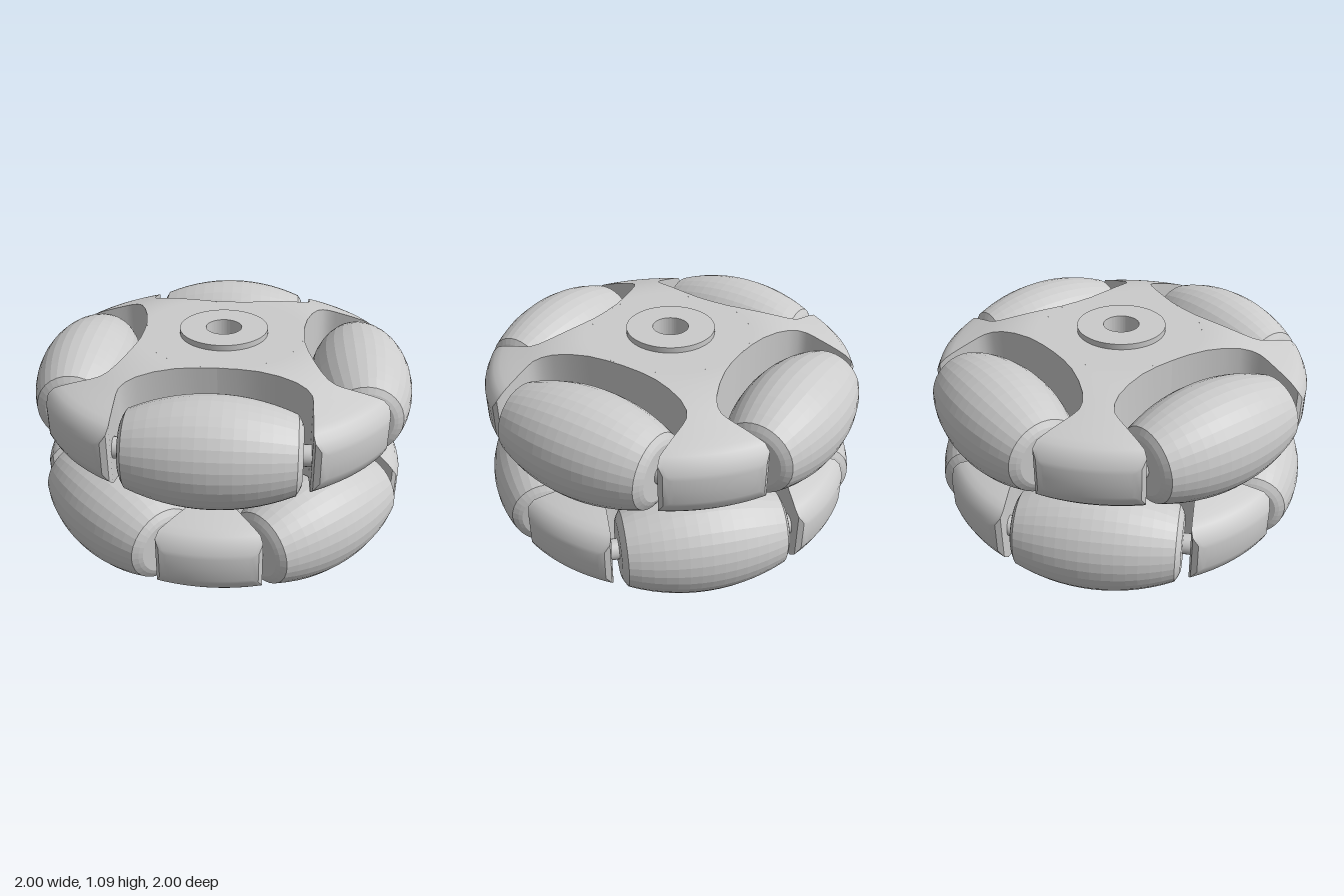
import * as THREE from 'three';
import { toCreasedNormals } from 'three/addons/utils/BufferGeometryUtils.js';

const smooth = new THREE.MeshStandardMaterial({ color: 0xcccccc });
const faceted = new THREE.MeshStandardMaterial({ color: 0xcccccc, flatShading: true });
const V = (x, y) => new THREE.Vector2(x, y);

const AXIS = 0.73;   // distance of a roller axis from the wheel centre
const CORE = 0.42;   // radius of the solid hub core

// Half of a pocket outline: [along the roller axis, outward from the wheel centre]
const POCKET = [
  [0, CORE], [0.1, 0.424], [0.2, 0.44], [0.3, 0.468], [0.38, 0.5], [0.43, 0.533],
  [0.455, 0.57], [0.46, 0.61], [0.46, 0.66], [0.46, 0.71], [0.46, 0.76], [0.46, 0.8],
  [0.47, 0.83], [0.5, 0.835], [0.53, 0.823],
];

// Half thickness of an arm against radius
const HEIGHT = [[0.42, 0.275], [0.5, 0.275], [0.6, 0.262], [0.7, 0.235], [0.79, 0.205],
  [0.87, 0.178], [0.92, 0.158], [0.955, 0.125], [0.973, 0.085], [0.98, 0.06]];

function halfHeight(r) {
  for (let i = 1; i < HEIGHT.length; i++) {
    const [r0, h0] = HEIGHT[i - 1], [r1, h1] = HEIGHT[i];
    if (r <= r1) return THREE.MathUtils.mapLinear(r, r0, r1, h0, h1);
  }
  return 0.06;
}

// Arm lofted outwards: each ring is an arc band between two pockets
function armGeometry() {
  const cols = 24, n = 2 * (cols + 1), pos = [], idx = [];
  const rings = POCKET.map(([u, v]) => {
    const r = Math.hypot(u, v);
    return { r, a: Math.PI / 4 - Math.atan2(u, v), h: halfHeight(r) };
  });
  rings.push({ ...rings[rings.length - 1], h: 0 });
  for (const { r, a, h } of rings) {
    for (const side of [1, -1]) {
      for (let i = 0; i <= cols; i++) {
        const t = side * a * (2 * i / cols - 1);
        pos.push(r * Math.sin(t), side * h, r * Math.cos(t));
      }
    }
  }
  for (let k = 0; k < rings.length - 1; k++) {
    for (let i = 0; i < n; i++) {
      const p = k * n + i, q = k * n + (i + 1) % n;
      idx.push(p, p + n, q, q, p + n, q + n);
    }
  }
  const g = new THREE.BufferGeometry();
  g.setAttribute('position', new THREE.Float32BufferAttribute(pos, 3));
  g.setIndex(idx);
  return toCreasedNormals(g, 0.5);
}

// Barrel roller whose long profile follows the wheel's outer circle
function rollerGeometry() {
  const half = 0.42, steps = 14, pts = [V(0.03, -half), V(0.14, -half), V(0.16, -half + 0.008)];
  for (let i = 0; i <= steps; i++) {
    const y = (half - 0.025) * (2 * i / steps - 1);
    pts.push(V(Math.sqrt(1 - y * y) - AXIS, y));
  }
  pts.push(V(0.16, half - 0.008), V(0.14, half), V(0.03, half));
  return new THREE.LatheGeometry(pts, 32).rotateZ(Math.PI / 2);
}

export function createModel() {
  const model = new THREE.Group();
  model.name = 'omniWheel';
  const add = (parent, name, geometry, material = smooth) => {
    const m = new THREE.Mesh(geometry, material);
    m.name = name;
    parent.add(m);
    return m;
  };

  // Hub core with bore and raised collar
  const core = [[0.093, 0], [0.23, 0], [0.23, 0.005], [CORE, 0.005], [CORE, 1.06],
    [0.23, 1.06], [0.23, 1.09], [0.093, 1.09], [0.093, 0]].map(p => V(...p));
  add(model, 'hubCore', toCreasedNormals(new THREE.LatheGeometry(core, 96), 0.5));

  const arm = armGeometry(), roller = rollerGeometry();
  const axle = new THREE.CylinderGeometry(0.052, 0.052, 1, 24).rotateZ(Math.PI / 2);

  // Two layers of four rollers, turned 45 degrees from each other
  for (const [name, y, turn] of [['lowerLayer', 0.28, 10], ['upperLayer', 0.785, 55]]) {
    const layer = new THREE.Group();
    layer.name = name;
    layer.position.y = y;
    model.add(layer);
    for (let i = 0; i < 4; i++) {
      const station = new THREE.Group();
      station.name = 'rollerStation';
      station.rotation.y = THREE.MathUtils.degToRad(turn + 90 * i);
      layer.add(station);
      add(station, 'roller', roller, faceted).position.z = AXIS;
      add(station, 'axle', axle).position.z = AXIS;
      add(station, 'hubArm', arm).rotation.y = Math.PI / 4;
    }
  }
  return model;
}
